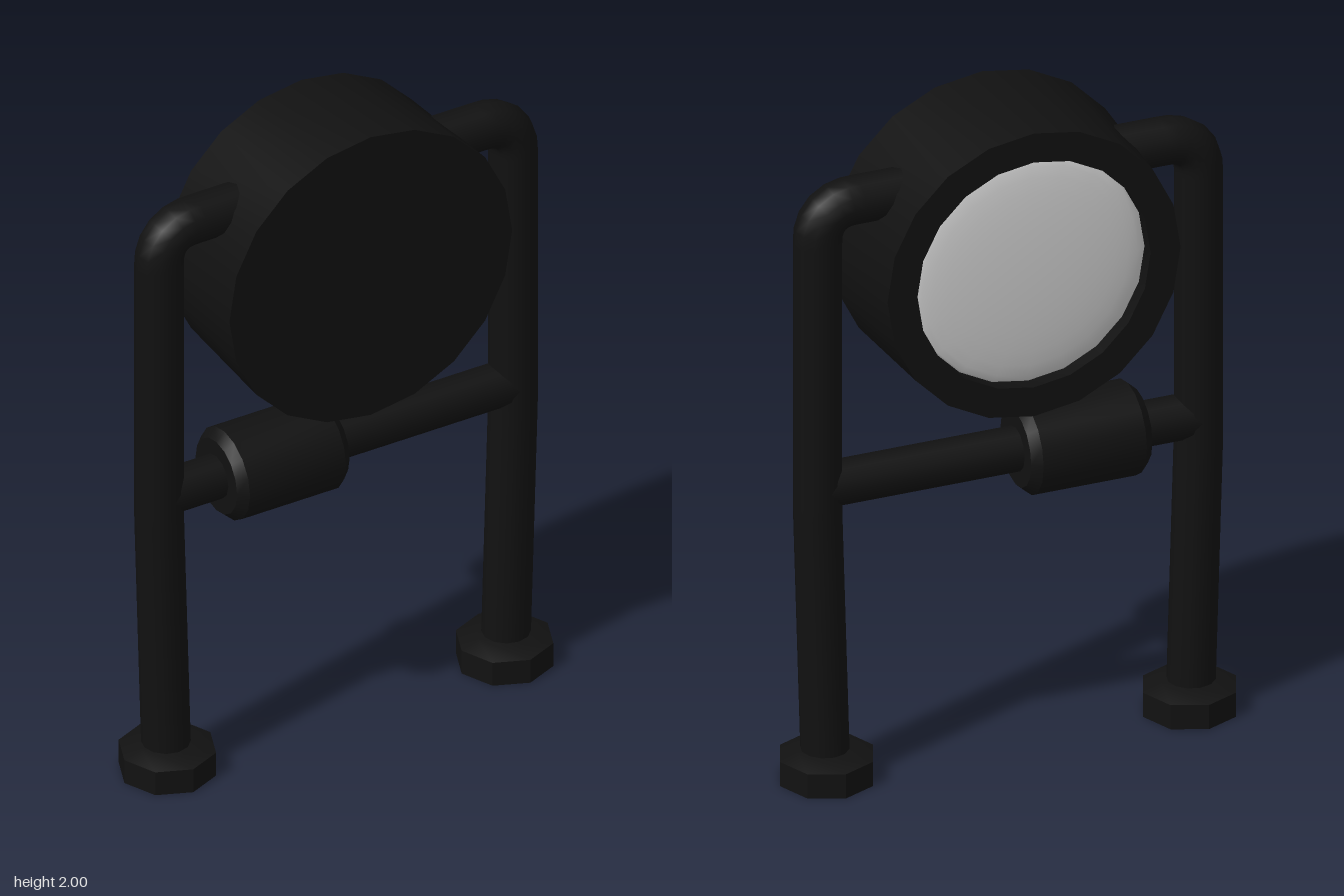
import * as THREE from 'three';
import { toCreasedNormals } from 'three/addons/utils/BufferGeometryUtils.js';

const black = new THREE.MeshStandardMaterial({ color: 0x111111 });
const white = new THREE.MeshStandardMaterial({ color: 0xcccccc });

// Lathe around y from [radius, height] pairs, listed bottom to top
function turned(profile, sides, crease = 0.6) {
  const points = profile.map(([r, y]) => new THREE.Vector2(r, y));
  return toCreasedNormals(new THREE.LatheGeometry(points, sides), crease);
}

export function createModel() {
  const model = new THREE.Group();
  const add = (name, geometry, material, parent = model) => {
    const mesh = new THREE.Mesh(geometry, material);
    mesh.name = name;
    parent.add(mesh);
    return mesh;
  };

  // Lamp: tapered drum with a closed front and a recessed lens at the back
  const lamp = new THREE.Group();
  lamp.name = 'lamp';
  lamp.position.y = 1.545;
  model.add(lamp);
  const housing = turned([
    [0, -0.14], [0.35, -0.14], [0.35, -0.187], [0.44, -0.187], [0.457, 0.187], [0, 0.187],
  ], 20);
  housing.rotateX(Math.PI / 2);
  add('housing', housing, black, lamp);

  const dome = new THREE.SphereGeometry(0.35, 20, 8, 0, Math.PI * 2, 0, Math.PI / 2);
  dome.scale(1, 0.12, 1);
  dome.rotateX(-Math.PI / 2);
  add('lens', dome, white, lamp).position.z = -0.143;

  // Legs: splayed below the crossbar, bent inward at the top into the lamp
  for (const side of [1, -1]) {
    const v = (x, y) => new THREE.Vector3(side * x, y, 0);
    const path = new THREE.CurvePath();
    path.add(new THREE.LineCurve3(v(0.548, 0.03), v(0.572, 0.85)));
    path.add(new THREE.LineCurve3(v(0.572, 0.85), v(0.572, 1.68)));
    path.add(new THREE.CubicBezierCurve3(v(0.572, 1.68), v(0.572, 1.74), v(0.535, 1.782), v(0.47, 1.782)));
    path.add(new THREE.LineCurve3(v(0.47, 1.782), v(0.3, 1.782)));
    add(side > 0 ? 'leftLeg' : 'rightLeg', new THREE.TubeGeometry(path, 64, 0.069, 12), black);

    // Octagonal foot with a bevelled top
    const foot = turned([[0, 0], [0.139, 0], [0.139, 0.075], [0.085, 0.095], [0, 0.095]], 8);
    foot.rotateY(Math.PI / 4);
    add(side > 0 ? 'leftFoot' : 'rightFoot', foot, black).position.x = side * 0.545;
  }

  // Crossbar between the legs
  const bar = new THREE.CylinderGeometry(0.065, 0.065, 1.14, 12);
  bar.rotateZ(Math.PI / 2);
  add('crossbar', bar, black).position.y = 0.912;

  // Bevelled collar on the crossbar
  const collar = turned([
    [0, -0.182], [0.112, -0.182], [0.137, -0.155], [0.137, 0.155], [0.112, 0.182], [0, 0.182],
  ], 16);
  collar.rotateZ(Math.PI / 2);
  add('collar', collar, black).position.set(-0.205, 0.912, 0);

  return model;
}
